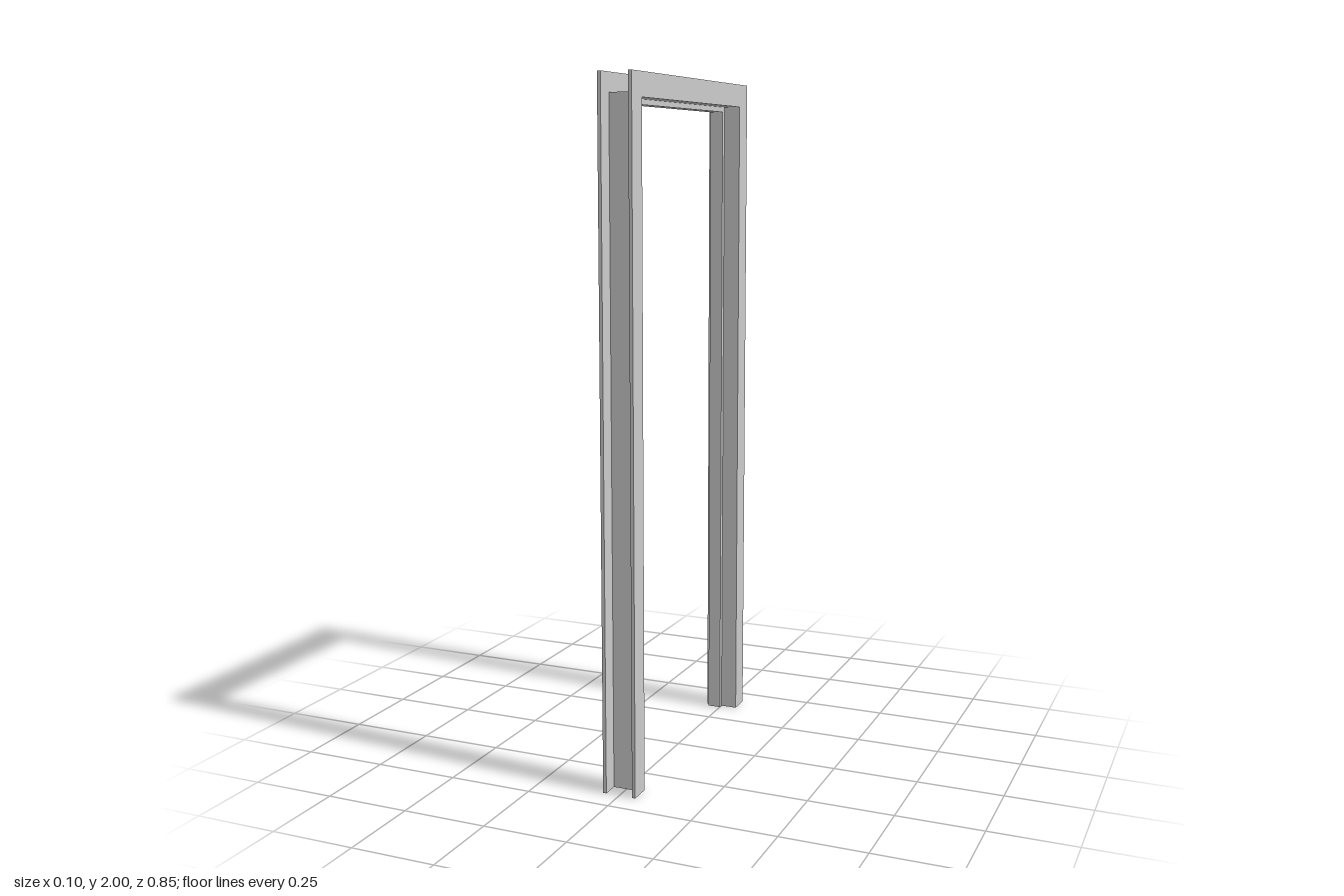
import * as THREE from 'three';

const material = new THREE.MeshStandardMaterial({ color: 0xcccccc, flatShading: true });

// Upside-down U in the z-y plane, extruded along x from x0 to x1.
function portal(name, outerHalf, outerTop, innerHalf, innerTop, x0, x1) {
  const shape = new THREE.Shape([
    [-outerHalf, 0], [-innerHalf, 0], [-innerHalf, innerTop], [innerHalf, innerTop],
    [innerHalf, 0], [outerHalf, 0], [outerHalf, outerTop], [-outerHalf, outerTop],
  ].map(([z, y]) => new THREE.Vector2(z, y)));
  const geometry = new THREE.ExtrudeGeometry(shape, { depth: x1 - x0, bevelEnabled: false });
  geometry.rotateY(Math.PI / 2).translate(x0, 0, 0);
  const mesh = new THREE.Mesh(geometry, material);
  mesh.name = name;
  return mesh;
}

export function createModel() {
  const group = new THREE.Group();
  group.name = 'doorFrame';

  // Wide flat trim on both sides of the wall
  group.add(portal('leftCasing', 0.426, 2, 0.362, 1.933, 0.04, 0.05));
  group.add(portal('rightCasing', 0.426, 2, 0.362, 1.933, -0.05, -0.04));

  // Thin lining joining the two casings
  group.add(portal('jamb', 0.376, 1.947, 0.362, 1.933, -0.04, 0.04));

  // Raised strip the door closes against
  group.add(portal('doorStop', 0.362, 1.933, 0.347, 1.918, -0.04, 0));

  return group;
}
